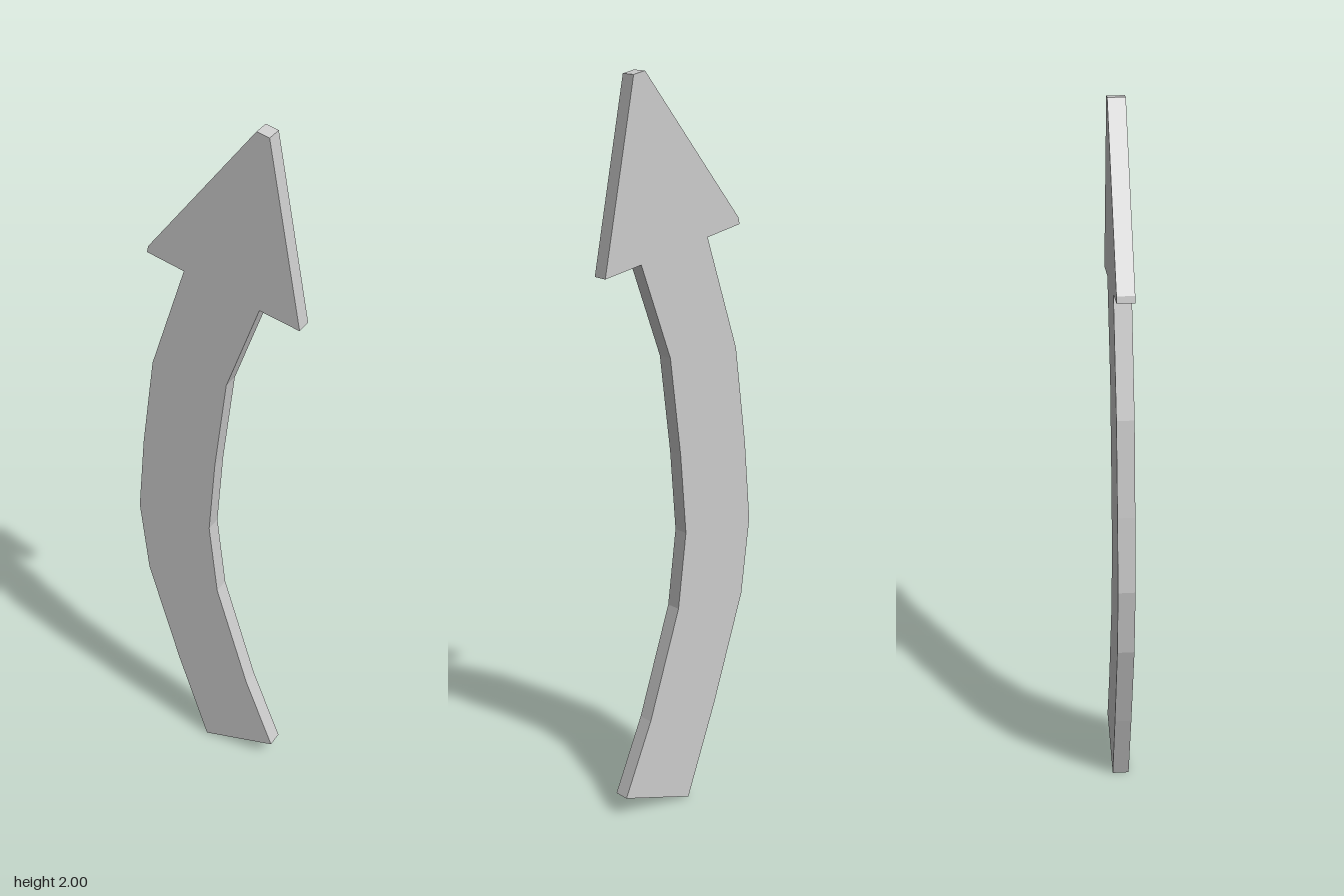
import * as THREE from 'three';

const THICKNESS = 0.046;

// Bent shaft: [left x, right x, y] at each bend, bottom to top
const bends = [
  [-0.12, 0.10, 0.257],
  [-0.214, 0.005, 0.56],
  [-0.24, -0.02, 0.77],
  [-0.222, -0.002, 0.99],
  [-0.188, 0.032, 1.257],
];

// Slanted foot of the shaft, left to right
const foot = [[-0.03, 0], [0.183, 0.053]];

// Arrowhead from the right inner corner over the blunt tip to the left one
const head = [
  [0.125, 1.512], [0.238, 1.487], [0.146, 1.992], [0.111, 2],
  [-0.193, 1.606], [-0.197, 1.588], [-0.09, 1.563],
];

export function createModel() {
  const group = new THREE.Group();
  group.name = 'curvedArrow';

  // Counter-clockwise outline: foot, right edge, head, left edge
  const outline = [
    ...foot,
    ...bends.map(([, right, y]) => [right, y]),
    ...head,
    ...bends.map(([left, , y]) => [left, y]).reverse(),
  ].map(([x, y]) => new THREE.Vector2(x, y));

  // Flat plate cut to the outline
  const geometry = new THREE.ExtrudeGeometry(new THREE.Shape(outline), {
    depth: THICKNESS,
    bevelEnabled: false,
  });
  geometry.translate(0, 0, -THICKNESS / 2);

  const material = new THREE.MeshStandardMaterial({ color: 0xcccccc, flatShading: true });
  const arrow = new THREE.Mesh(geometry, material);
  arrow.name = 'arrowPlate';
  group.add(arrow);
  return group;
}
